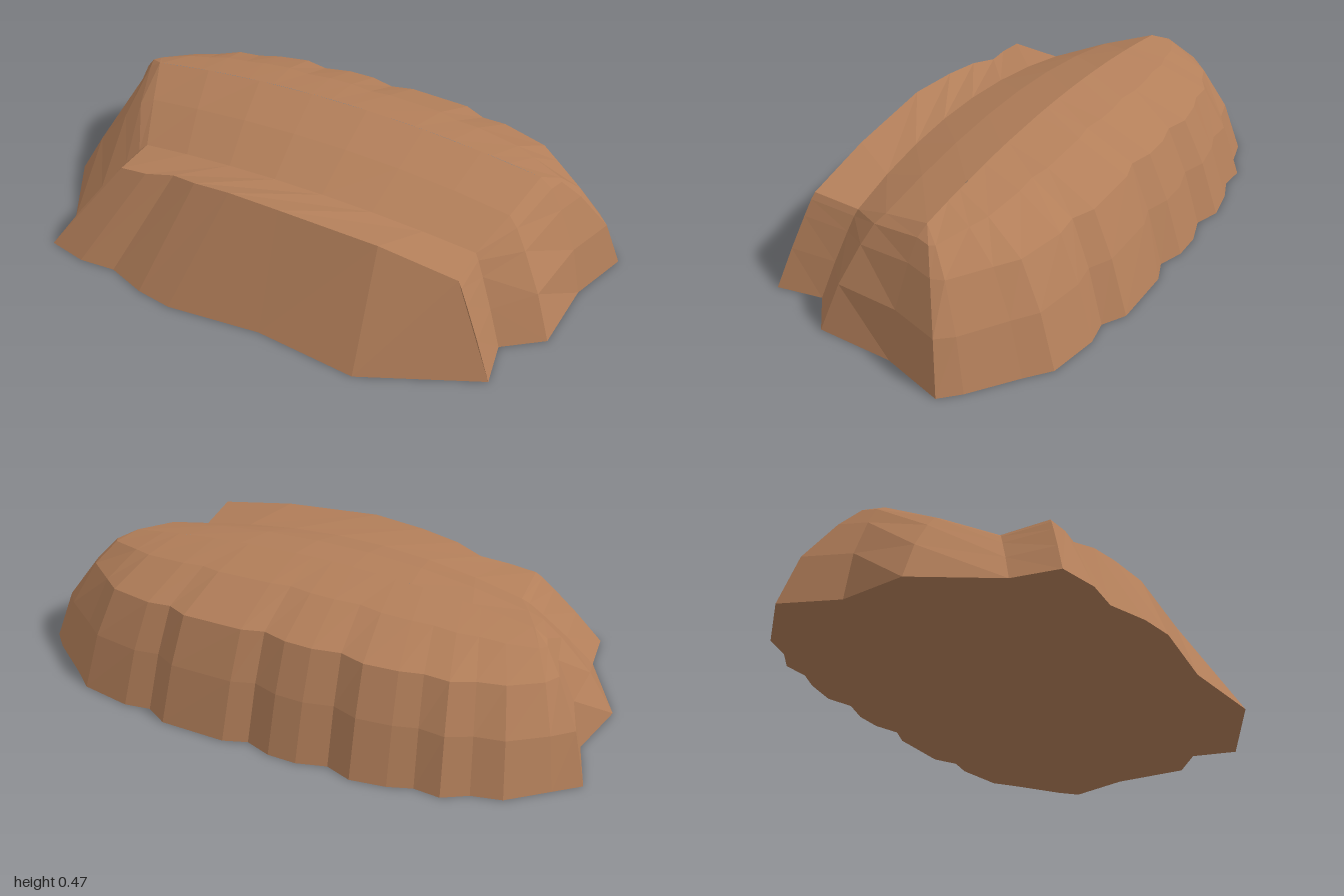
import * as THREE from 'three';

const clay = new THREE.MeshStandardMaterial({ color: 0xb37f5a, flatShading: true });
clay.name = 'clayBrown';

// Rise of a wall from base (0) to shoulder (1): heights with matching insets
const RISE = [0, 0.42, 0.76, 0.93, 1];
const SIDE = [0, 0.2, 0.54, 0.77, 1];
const REAR = [0, 0.13, 0.28, 0.66, 1];

const lerp = (a, b, t) => a + (b - a) * t;
const ridgeY = x => 0.467 - 0.11 * x * x;

// Skin a list of equally long rows; rows run left to right, from back to front
function loft(name, rows) {
  const pos = [];
  const tri = (a, b, c) => pos.push(...a, ...b, ...c);
  for (let i = 0; i < rows.length - 1; i++) {
    for (let j = 0; j < rows[i].length - 1; j++) {
      const a = rows[i][j], b = rows[i][j + 1], c = rows[i + 1][j + 1], d = rows[i + 1][j];
      tri(a, d, b);
      tri(b, d, c);
    }
  }
  return toMesh(name, pos);
}

function toMesh(name, pos) {
  const g = new THREE.BufferGeometry();
  g.setAttribute('position', new THREE.Float32BufferAttribute(pos, 3));
  g.computeVertexNormals();
  const m = new THREE.Mesh(g, clay);
  m.name = name;
  return m;
}

// Points climbing from a base corner [x, z] to a shoulder [x, y, z]
function climb([bx, bz], [sx, sy, sz], inset) {
  return RISE.map((h, i) => [lerp(bx, sx, inset[i]), sy * h, lerp(bz, sz, inset[i])]);
}

// Scalloped foot of the rear lobe, left to right
const rearFoot = [
  [-0.93, -0.13], [-1, -0.32], [-0.92, -0.39], [-0.8, -0.495], [-0.7, -0.52], [-0.62, -0.57],
  [-0.53, -0.565], [-0.45, -0.595], [-0.33, -0.615], [-0.24, -0.585], [-0.14, -0.615],
  [-0.04, -0.615], [0.05, -0.585], [0.13, -0.615], [0.36, -0.615], [0.44, -0.57],
  [0.53, -0.585], [0.71, -0.555], [0.79, -0.49], [0.94, -0.38], [1, -0.32], [0.93, -0.1],
];

// Foot of the front face, left to right
const frontFoot = [
  [-0.8, 0.52], [-0.66, 0.55], [-0.53, 0.54], [-0.39, 0.59],
  [-0.26, 0.61], [0.07, 0.575], [0.43, 0.61], [0.82, 0.43],
];

// Crest line above the front face
const crest = [
  [-0.58, 0.31, 0.37], [-0.48, 0.32, 0.37], [-0.38, 0.335, 0.35], [-0.28, 0.355, 0.375],
  [-0.14, 0.372, 0.385], [0.05, 0.38, 0.397], [0.4, 0.355, 0.38], [0.67, 0.31, 0.365],
];

// An arched line between two shoulders, with its own height and z at the middle
function arch(left, right, midY, midZ) {
  return crest.map((_, i) => {
    const t = i / (crest.length - 1), k = 1 - (2 * t - 1) ** 2;
    const y = lerp(left[1], right[1], t), z = lerp(left[2], right[2], t);
    return [lerp(left[0], right[0], t), lerp(y, midY, k), lerp(z, midZ, k)];
  });
}

// A whole cross-section: up the left side, over the top, down the right side
function section(leftFoot, rightFoot, tops, bulge) {
  const inset = RISE.map((h, i) => lerp(h, SIDE[i], bulge));
  const up = climb(leftFoot, tops[0], inset);
  const down = climb(rightFoot, tops[tops.length - 1], inset).reverse();
  return [...up, ...tops.slice(1, -1), ...down];
}

export function createModel() {
  const group = new THREE.Group();
  group.name = 'rockMound';

  // Rear lobe: every foot point climbs to the main ridge
  const columns = rearFoot.map(([x, z]) => {
    const rx = THREE.MathUtils.clamp(x * 0.8, -0.744, 0.744);
    const k = Math.abs(z) < 0.33 ? 1 : Math.abs(x) ** 4;
    return climb([x, z], [rx, ridgeY(rx), -0.13], REAR.map((r, i) => lerp(r, SIDE[i], k)));
  });
  group.add(loft('rearLobe', RISE.map((_, i) => columns.map(c => c[i]))));

  // Ridge, slope, valley and crest sections
  const leftFeet = [[-0.93, -0.13], [-0.97, 0.1], [-0.82, 0.36], [-0.8, 0.52]];
  const rightFeet = [[0.93, -0.1], [0.92, 0.17], [0.79, 0.27], [0.82, 0.43]];
  const end = ridgeY(0.744);
  const tops = [
    arch([-0.744, end, -0.13], [0.744, end, -0.13], 0.467, -0.13),
    arch([-0.67, 0.36, 0.03], [0.71, 0.36, 0.05], 0.423, 0.055),
    arch([-0.59, 0.295, 0.2], [0.66, 0.295, 0.2], 0.357, 0.232),
    crest,
  ];
  const bulge = [1, 0.6, 0.2, 0.15];
  const sections = tops.map((t, i) => section(leftFeet[i], rightFeet[i], t, bulge[i]));
  group.add(loft('ridgeAndValley', sections));

  // Front face: the crest section falls to the front foot
  const foot = frontFoot.map(([x, z]) => [x, 0, z]);
  const first = foot[0], last = foot[foot.length - 1];
  const sides = RISE.length - 1;
  const footRow = [...Array(sides).fill(first), ...foot, ...Array(sides).fill(last)];
  group.add(loft('frontFace', [sections[3], footRow]));

  // Flat underside
  const outline = [
    ...rearFoot, ...rightFeet.slice(1, 3), ...[...frontFoot].reverse(),
    ...leftFeet.slice(1, 3).reverse(),
  ];
  const under = [];
  outline.forEach(([x, z], i) => {
    const [nx, nz] = outline[(i + 1) % outline.length];
    under.push(0, 0, 0, x, 0, z, nx, 0, nz);
  });
  group.add(toMesh('underside', under));

  return group;
}
